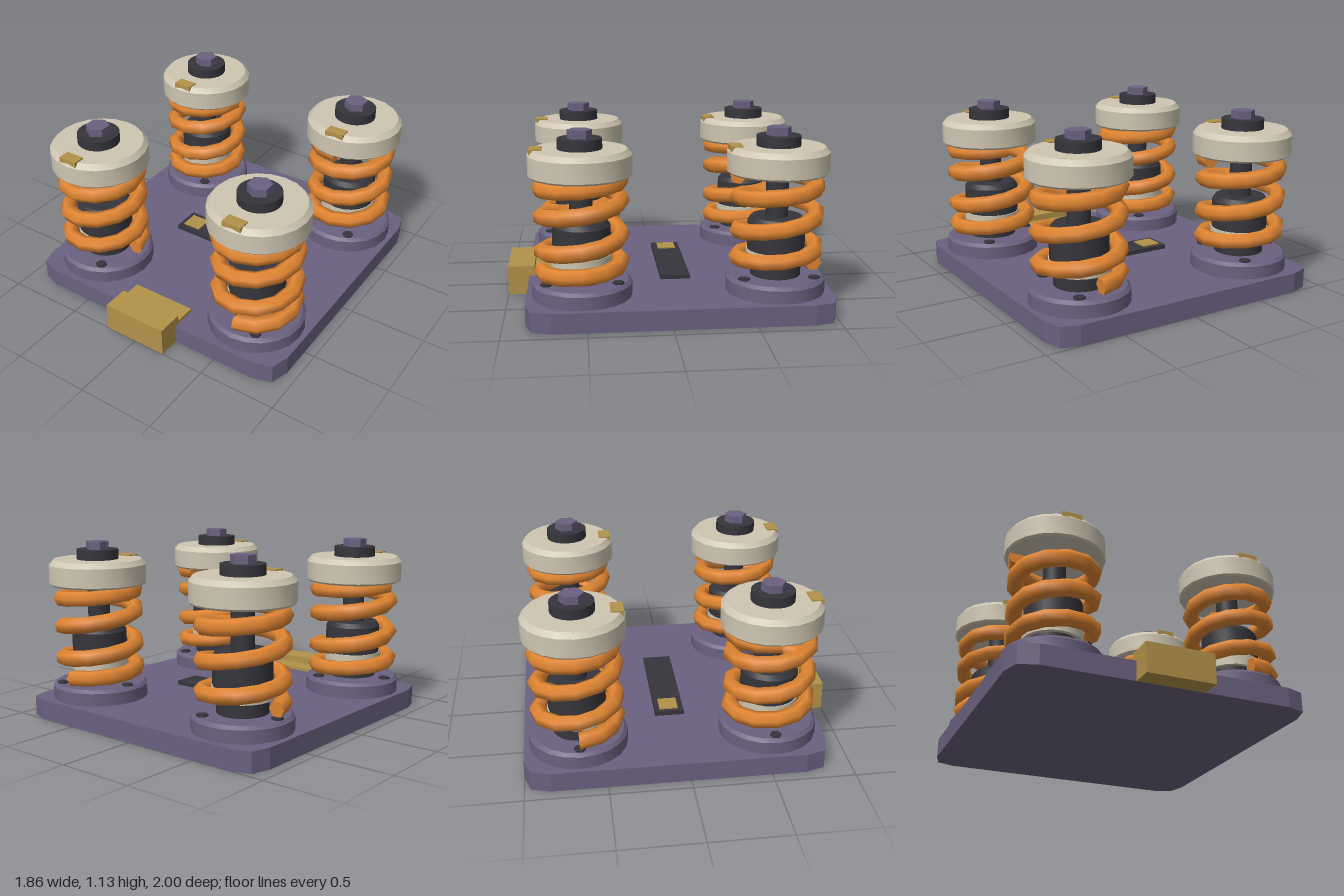
import * as THREE from 'three';
import { toCreasedNormals } from 'three/addons/utils/BufferGeometryUtils.js';

const material = (name, color) => {
  const m = new THREE.MeshStandardMaterial({ color });
  m.name = name;
  return m;
};

// Helix with tighter end coils, starting on +x and climbing counter-clockwise
class SpringCurve extends THREE.Curve {
  getPoint(u, target = new THREE.Vector3()) {
    const a = u * 3.5 * Math.PI * 2;
    const y = 0.28 + 0.56 * (u - 0.4 * Math.sin(u * Math.PI * 2) / (Math.PI * 2));
    return target.set(0.24 * Math.cos(a), y, -0.24 * Math.sin(a));
  }
}

export function createModel() {
  const purple = material('purple metal', 0x6b6180);
  const cream = material('cream enamel', 0xcfc6b2);
  const orange = material('orange spring steel', 0xe08532);
  const gold = material('brass', 0xb3924a);
  const black = material('dark metal', 0x36353b);

  const model = new THREE.Group();
  model.name = 'springMountPlate';

  const add = (parent, name, geometry, mat, x = 0, y = 0, z = 0) => {
    const mesh = new THREE.Mesh(geometry, mat);
    mesh.name = name;
    mesh.position.set(x, y, z);
    parent.add(mesh);
    return mesh;
  };
  // Box given by its limits on each axis
  const block = (parent, name, mat, x0, x1, y0, y1, z0, z1) =>
    add(parent, name, new THREE.BoxGeometry(x1 - x0, y1 - y0, z1 - z0), mat,
      (x0 + x1) / 2, (y0 + y1) / 2, (z0 + z1) / 2);
  // Turned part from a profile of [radius, height], closed on the axis
  const turned = (profile, sides = 20) => {
    const pts = [[0, profile[0][1]], ...profile, [0, profile[profile.length - 1][1]]];
    return toCreasedNormals(
      new THREE.LatheGeometry(pts.map(([r, y]) => new THREE.Vector2(r, y)), sides), 0.5);
  };

  // Base plate with clipped round corners
  const corner = [[0.78, 1], [0.895, 0.962], [0.93, 0.845]];
  const low = corner.map(([x, y]) => [x, y - 0.135 - 2 * (y - 0.5) + 0.0]);
  const right = [...corner, ...low.map(([x], i) => [x, -(corner[i][1] - 0.135)]).reverse()];
  const outline = [...right, ...right.map(([x, y]) => [-x, y]).reverse()];
  const plate = new THREE.ExtrudeGeometry(
    new THREE.Shape(outline.map(([x, y]) => new THREE.Vector2(x, y))),
    { depth: 0.125, bevelEnabled: false });
  plate.rotateX(-Math.PI / 2);
  add(model, 'basePlate', plate, purple);

  // Front connector with a low tongue on the plate
  block(model, 'connectorBlock', gold, -0.215, 0.215, 0, 0.188, 0.83, 1);
  block(model, 'connectorTongue', gold, -0.215, 0.215, 0.11, 0.145, 0.695, 0.835);

  // Centre bar with its square marker
  block(model, 'centreBar', black, -0.375, 0.37, 0.12, 0.152, -0.16, 0.028);
  block(model, 'barMarker', gold, -0.345, -0.22, 0.152, 0.16, -0.128, -0.008);

  // Geometry shared by the four spring posts
  const flange = turned([[0.305, 0.12], [0.305, 0.205], [0.285, 0.225]]);
  const foot = turned([[0.155, 0.22], [0.155, 0.32]]);
  const collar = turned([[0.182, 0.31], [0.182, 0.385]]);
  const sleeve = turned([[0.176, 0.38], [0.176, 0.56], [0.155, 0.59]]);
  const rod = turned([[0.07, 0.58], [0.07, 0.9]], 16);
  const cap = turned([[0.298, 0.86], [0.31, 0.872], [0.31, 0.99], [0.282, 1.022]]);
  const washer = turned([[0.133, 1.02], [0.133, 1.085]], 24);
  const hexNut = new THREE.CylinderGeometry(0.075, 0.075, 0.05, 6).toNonIndexed();
  hexNut.computeVertexNormals();
  const bolt = new THREE.CylinderGeometry(0.036, 0.036, 0.02, 6).toNonIndexed();
  bolt.computeVertexNormals();

  const segments = 42, sides = 6;
  const coil = new THREE.TubeGeometry(new SpringCurve(), segments, 0.052, sides, false);
  // Flat fan closing one end of the coil
  const coilEnd = (ring, flip) => {
    const pos = coil.attributes.position;
    const at = (i) => new THREE.Vector3().fromBufferAttribute(pos, ring * (sides + 1) + i);
    const centre = new SpringCurve().getPointAt(ring / segments);
    const pts = [];
    for (let i = 0; i < sides; i++) {
      pts.push(centre, ...(flip ? [at(i + 1), at(i)] : [at(i), at(i + 1)]));
    }
    const g = new THREE.BufferGeometry().setFromPoints(pts);
    g.computeVertexNormals();
    return g;
  };
  const orangeEnd = orange.clone();
  orangeEnd.name = 'orange spring end';
  orangeEnd.side = THREE.DoubleSide;
  const ends = [coilEnd(0, false), coilEnd(segments, true)];

  const post = (name, x, z, turn) => {
    const g = new THREE.Group();
    g.name = name;
    g.position.set(x, 0, z);
    add(g, 'flange', flange, purple);
    // Three flange bolts
    for (let i = 0; i < 3; i++) {
      const a = Math.PI + i * Math.PI * 2 / 3;
      add(g, 'flangeBolt', bolt, black, 0.248 * Math.cos(a), 0.226, 0.248 * Math.sin(a));
    }
    add(g, 'damperFoot', foot, black);
    add(g, 'damperCollar', collar, cream);
    add(g, 'damperSleeve', sleeve, black);
    add(g, 'damperRod', rod, black);
    // Each spring is turned a quarter from the last
    const spring = new THREE.Group();
    spring.name = 'spring';
    spring.rotation.y = turn;
    add(spring, 'coil', coil, orange);
    ends.forEach((e) => add(spring, 'coilEnd', e, orangeEnd));
    g.add(spring);
    add(g, 'cap', cap, cream);
    add(g, 'washer', washer, black);
    add(g, 'hexNut', hexNut, purple, 0, 1.11, 0);
    block(g, 'capTab', gold, -0.0625, 0.0625, 0.995, 1.03, 0.22, 0.297);
    model.add(g);
  };

  const q = -Math.PI / 2;
  post('frontRightPost', -0.595, 0.525, 0);
  post('frontLeftPost', 0.595, 0.525, q);
  post('backRightPost', -0.595, -0.66, 2 * q);
  post('backLeftPost', 0.595, -0.66, 3 * q);

  return model;
}
